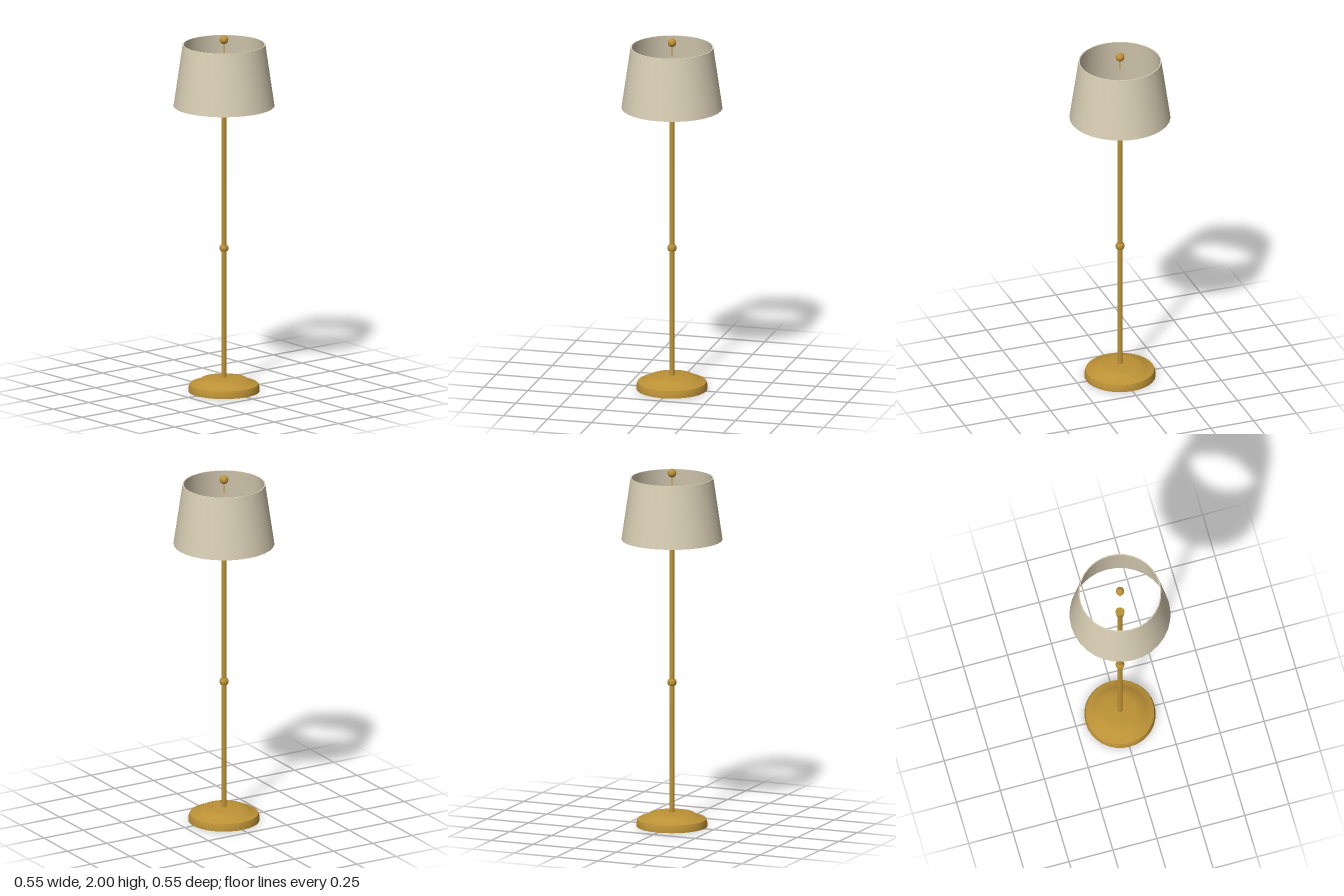
import * as THREE from 'three';
import { toCreasedNormals } from 'three/addons/utils/BufferGeometryUtils.js';

const brass = new THREE.MeshStandardMaterial({ color: 0xbd9236 });
brass.name = 'brass';
const linen = new THREE.MeshStandardMaterial({ color: 0xdacfb5 });
linen.name = 'linen';

// Turned part from [radius, height] pairs, listed bottom to top on the outside
function turned(name, profile, material, segments) {
  const points = profile.map(([r, y]) => new THREE.Vector2(r, y));
  const geometry = toCreasedNormals(new THREE.LatheGeometry(points, segments), 0.6);
  const mesh = new THREE.Mesh(geometry, material);
  mesh.name = name;
  return mesh;
}

export function createModel() {
  const lamp = new THREE.Group();
  lamp.name = 'floorLamp';

  // Stepped, slightly domed foot
  lamp.add(turned('base', [
    [0, 0], [0.195, 0], [0.195, 0.02], [0.188, 0.041], [0.165, 0.048],
    [0.145, 0.056], [0.125, 0.07], [0.09, 0.075], [0, 0.079],
  ], brass, 32));

  // Slender pole with a rounded joint halfway up
  lamp.add(turned('pole', [
    [0, 0.07], [0.014, 0.07], [0.014, 1.62], [0, 1.62],
  ], brass, 16));
  lamp.add(turned('poleCollar', [
    [0.014, 0.787], [0.02, 0.789], [0.024, 0.796], [0.024, 0.813],
    [0.02, 0.82], [0.014, 0.822],
  ], brass, 16));

  // Flared lamp socket
  lamp.add(turned('socket', [
    [0, 1.59], [0.018, 1.59], [0.02, 1.605], [0.025, 1.65], [0, 1.65],
  ], brass, 16));

  // Open tapered shade with a thin wall
  lamp.add(turned('shade', [
    [0.271, 1.605], [0.277, 1.605], [0.227, 1.95], [0.221, 1.95], [0.271, 1.605],
  ], linen, 32));

  // Finial ball on its thin stem
  lamp.add(turned('finialStem', [
    [0, 1.9], [0.004, 1.9], [0.004, 1.97], [0, 1.97],
  ], brass, 8));
  const finial = new THREE.Mesh(new THREE.SphereGeometry(0.024, 12, 10), brass);
  finial.name = 'finial';
  finial.position.y = 1.976;
  lamp.add(finial);

  return lamp;
}
